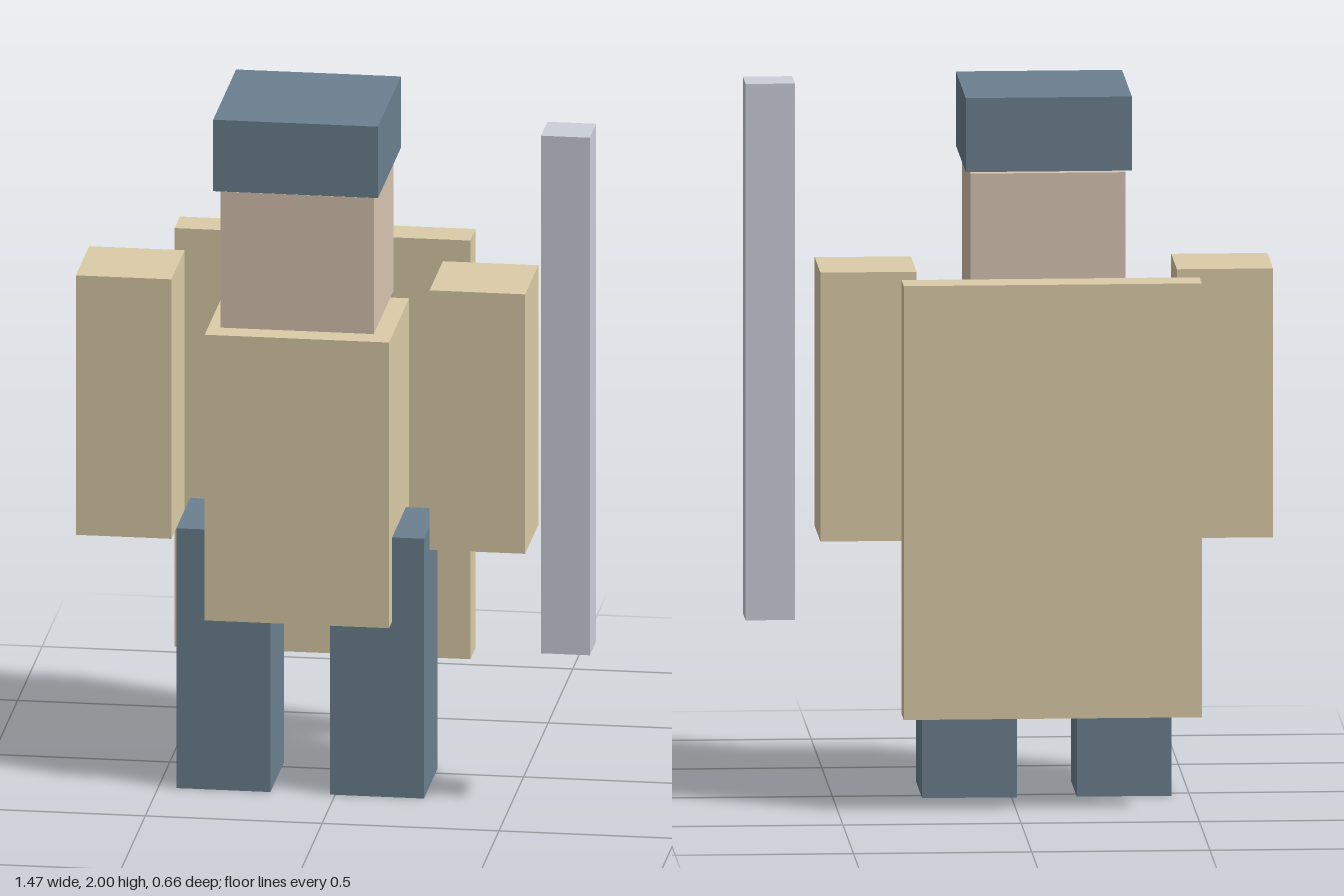
import * as THREE from 'three';

const material = (color) => new THREE.MeshStandardMaterial({ color, flatShading: true });

export function createModel() {
  const model = new THREE.Group();
  model.name = 'blockFigure';

  const blue = material(0x6c8090);
  const tan = material(0xdccda8);
  const skin = material(0xd8c5b2);
  const steel = material(0xccd0da);

  // Adds a box spanning the given [min, max] range on each axis
  function block(name, mat, x, y, z) {
    const size = [x, y, z].map(([min, max]) => max - min);
    const mesh = new THREE.Mesh(new THREE.BoxGeometry(...size), mat);
    mesh.position.set(...[x, y, z].map(([min, max]) => (min + max) / 2));
    mesh.name = name;
    model.add(mesh);
  }

  // Head and body
  block('hat', blue, [-0.332, 0.134], [1.79, 2], [-0.138, 0.328]);
  block('head', skin, [-0.316, 0.118], [1.38, 1.78], [-0.104, 0.298]);
  block('torso', tan, [-0.36, 0.161], [0.517, 1.357], [-0.112, 0.298]);

  // Paired limbs, mirrored about the body's centre line
  const bodyX = -0.099;
  for (const [side, s] of [['left', 1], ['right', -1]]) {
    const span = (inner, outer) => [bodyX + s * inner, bodyX + s * outer].sort((a, b) => a - b);
    block(side + 'Arm', tan, span(0.365, 0.635), [0.73, 1.493], [-0.042, 0.228]);
    block(side + 'Leg', blue, span(0.084, 0.35), [0, 0.764], [-0.046, 0.235]);
  }

  // Cape behind the back and staff beside the left arm
  block('cape', tan, [-0.517, 0.319], [0.268, 1.499], [-0.328, -0.221]);
  block('staff', steel, [0.594, 0.732], [0.47, 1.992], [0.193, 0.322]);

  return model;
}
